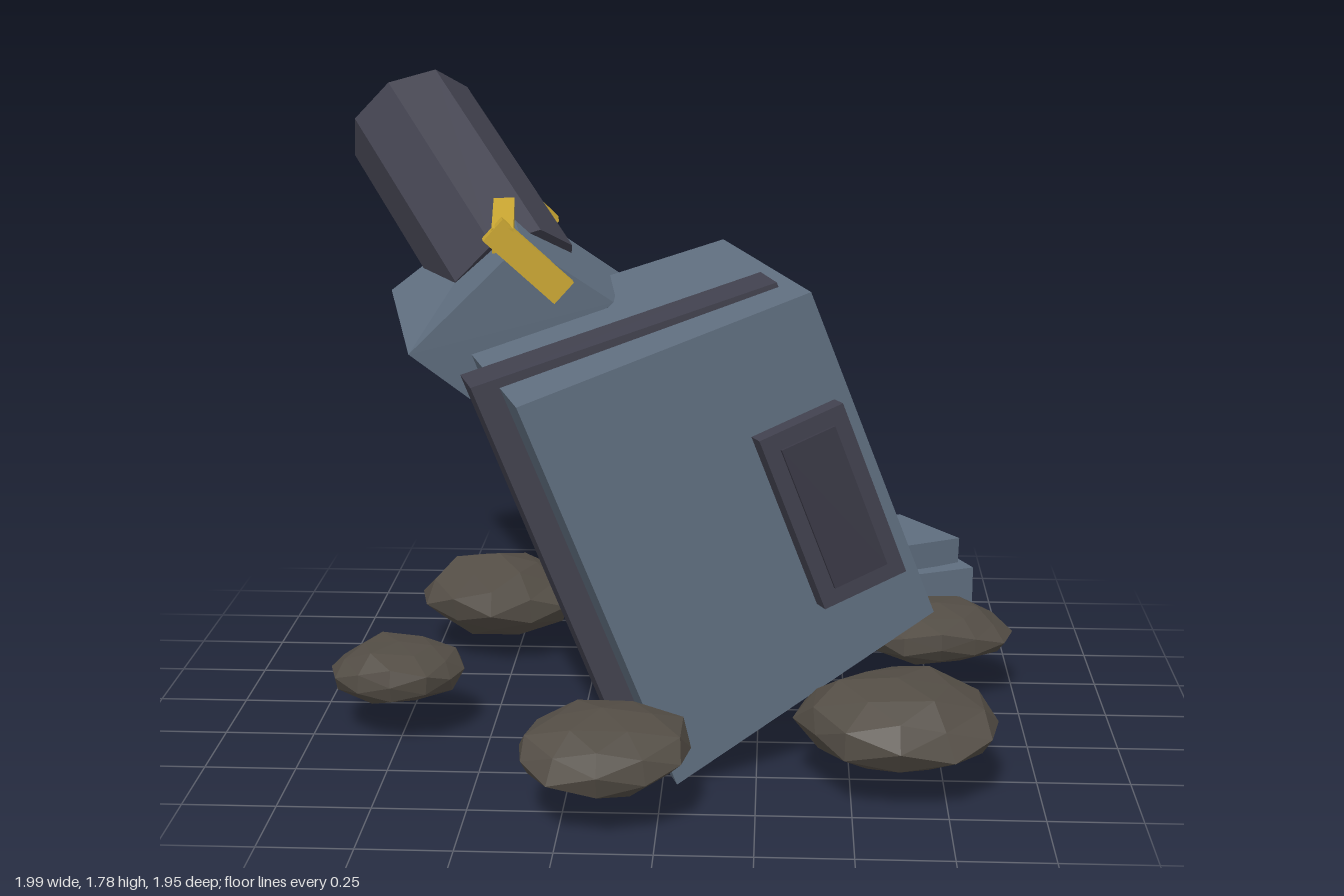
import * as THREE from 'three';

const mat = (name, color) => {
  const m = new THREE.MeshStandardMaterial({ color, flatShading: true });
  m.name = name;
  return m;
};
const V = (p) => new THREE.Vector3(...p);
const add = (p, d, s = 1) => p.map((v, i) => v + d[i] * s);

// Six-sided block between two rings of four corners; ring t is anticlockwise from outside.
function block(name, material, t, b) {
  const pos = [];
  const quad = (p, q, r, s) => pos.push(...p, ...q, ...r, ...p, ...r, ...s);
  quad(...t);
  quad(b[3], b[2], b[1], b[0]);
  for (let i = 0; i < 4; i++) {
    const j = (i + 1) % 4;
    quad(b[i], b[j], t[j], t[i]);
  }
  const g = new THREE.BufferGeometry();
  g.setAttribute('position', new THREE.Float32BufferAttribute(pos, 3));
  g.computeVertexNormals();
  const m = new THREE.Mesh(g, material);
  m.name = name;
  return m;
}

// Square bar running from p to q.
function bar(name, material, p, q, w, h) {
  const a = V(p), c = V(q);
  const m = new THREE.Mesh(new THREE.BoxGeometry(w, h, a.distanceTo(c)), material);
  m.position.copy(a).lerp(c, 0.5);
  m.lookAt(c);
  m.name = name;
  return m;
}

// Flattened rock with uneven corners; shared corners move together.
function rock(material, x, y, z, rx, ry, rz, seed) {
  const g = new THREE.IcosahedronGeometry(1, 1);
  const p = g.attributes.position;
  const v = new THREE.Vector3();
  for (let i = 0; i < p.count; i++) {
    v.fromBufferAttribute(p, i);
    const k = Math.round(v.x * 50) * 12.99 + Math.round(v.y * 50) * 78.23 + Math.round(v.z * 50) * 37.72;
    const n = Math.abs(Math.sin(k + seed * 5.3) * 437.58) % 1;
    v.multiplyScalar(0.84 + 0.2 * n);
    p.setXYZ(i, v.x * rx, v.y * ry, v.z * rz);
  }
  g.computeVertexNormals();
  const m = new THREE.Mesh(g, material);
  m.position.set(x, y, z);
  m.name = 'rock';
  return m;
}

export function createModel() {
  const group = new THREE.Group();
  const steel = mat('blue grey steel', 0x5f6e7f);
  const dark = mat('dark metal', 0x41414e);
  const inset = mat('darker inset', 0x3a3946);
  const yellow = mat('yellow trim', 0xc9a632);
  const stone = mat('brown stone', 0x534d45);

  // Toppled main body, leaning to one side
  group.add(block('body', steel,
    [[-0.36, 1.07, 0.69], [0.38, 1.31, 0.37], [0.13, 1.31, -0.43], [-0.67, 1.07, -0.28]],
    [[0.04, 0.01, 0.57], [0.73, 0.4, 0.26], [0.48, 0.4, -0.54], [-0.26, 0.01, -0.38]]));

  // Dark band over the top and down the side
  const down = [0.4, -1.065, -0.11];
  const bandTop = [[-0.5, 1.075, 0.505], [0.29, 1.31, 0.24], [0.245, 1.31, 0.09], [-0.55, 1.07, 0.335]];
  group.add(block('band', dark, bandTop, bandTop.map((p, i) => add(p, down, i === 1 || i === 2 ? 0.86 : 1))));

  // Front hatch with a thin inner panel
  const out = [0.021, 0.002, 0.051];
  const drop = [0.175, -0.465, -0.055];
  const across = [0.212, 0.085, -0.07];
  const corner = [0.23, 0.97, 0.57];
  const at = (u, v, d) => add(add(add(corner, across, u), drop, v), out, d);
  const ring = (a, d) => [at(a, a * 0.5, d), at(a, 1 - a * 0.5, d), at(1 - a, 1 - a * 0.5, d), at(1 - a, a * 0.5, d)];
  group.add(block('hatch', dark, ring(0, 1), ring(0, 0)));
  group.add(block('hatchPanel', inset, ring(0.18, 1.16), ring(0.18, 1)));

  // Neck block
  group.add(block('neck', steel,
    [[-0.72, 1.08, 0.14], [-0.5, 0.89, 0.06], [-0.165, 1.2, -0.02], [-0.41, 1.38, 0.06]],
    [[-0.84, 1.17, -0.32], [-0.46, 0.82, -0.555], [-0.18, 1.19, -0.51], [-0.5, 1.43, -0.4]]));

  // Eight-sided barrel
  const dir = V([0.5, -0.56, 0.66]).normalize();
  const barrel = new THREE.Mesh(new THREE.CylinderGeometry(0.2, 0.2, 0.72, 8), dark);
  barrel.quaternion.setFromUnitVectors(new THREE.Vector3(0, -1, 0), dir);
  barrel.position.copy(V([-0.83, 1.62, -0.7])).addScaledVector(dir, 0.36);
  barrel.name = 'barrel';
  group.add(barrel);

  // Yellow trim on the neck
  group.add(bar('trimRidge', yellow, [-0.46, 1.39, 0.09], [-0.5, 1.43, -0.3], 0.06, 0.07));
  group.add(bar('trimArm', yellow, [-0.49, 1.42, 0.075], [-0.3, 1.24, 0.04], 0.05, 0.08));
  group.add(bar('trimRear', yellow, [-0.47, 1.41, -0.475], [-0.39, 1.33, -0.485], 0.1, 0.08));

  // Rubble slabs
  [[0.44, 0.12, 0.345, 0.625, 0.24, -0.52, 0.42, 0], [0.4, 0.08, 0.3, 0.605, 0.345, -0.515, 0.6, -0.04]]
    .forEach(([w, h, d, x, y, z, turn, tilt]) => {
      const m = new THREE.Mesh(new THREE.BoxGeometry(w, h, d), steel);
      m.position.set(x, y, z);
      m.rotation.set(0, turn, tilt);
      m.name = 'slab';
      group.add(m);
    });

  // Ring of rocks
  [
    [0.2, 0.17, -0.725, 0.25, 0.12, 0.26],
    [-0.56, 0.18, -0.51, 0.25, 0.13, 0.25],
    [-0.76, 0.19, 0.2, 0.2, 0.09, 0.185],
    [-0.145, 0.19, 0.75, 0.25, 0.11, 0.225],
    [0.62, 0.19, 0.53, 0.285, 0.125, 0.25],
    [0.775, 0.19, -0.19, 0.225, 0.09, 0.21],
  ].forEach((r, i) => group.add(rock(stone, ...r, i + 1)));

  return group;
}
